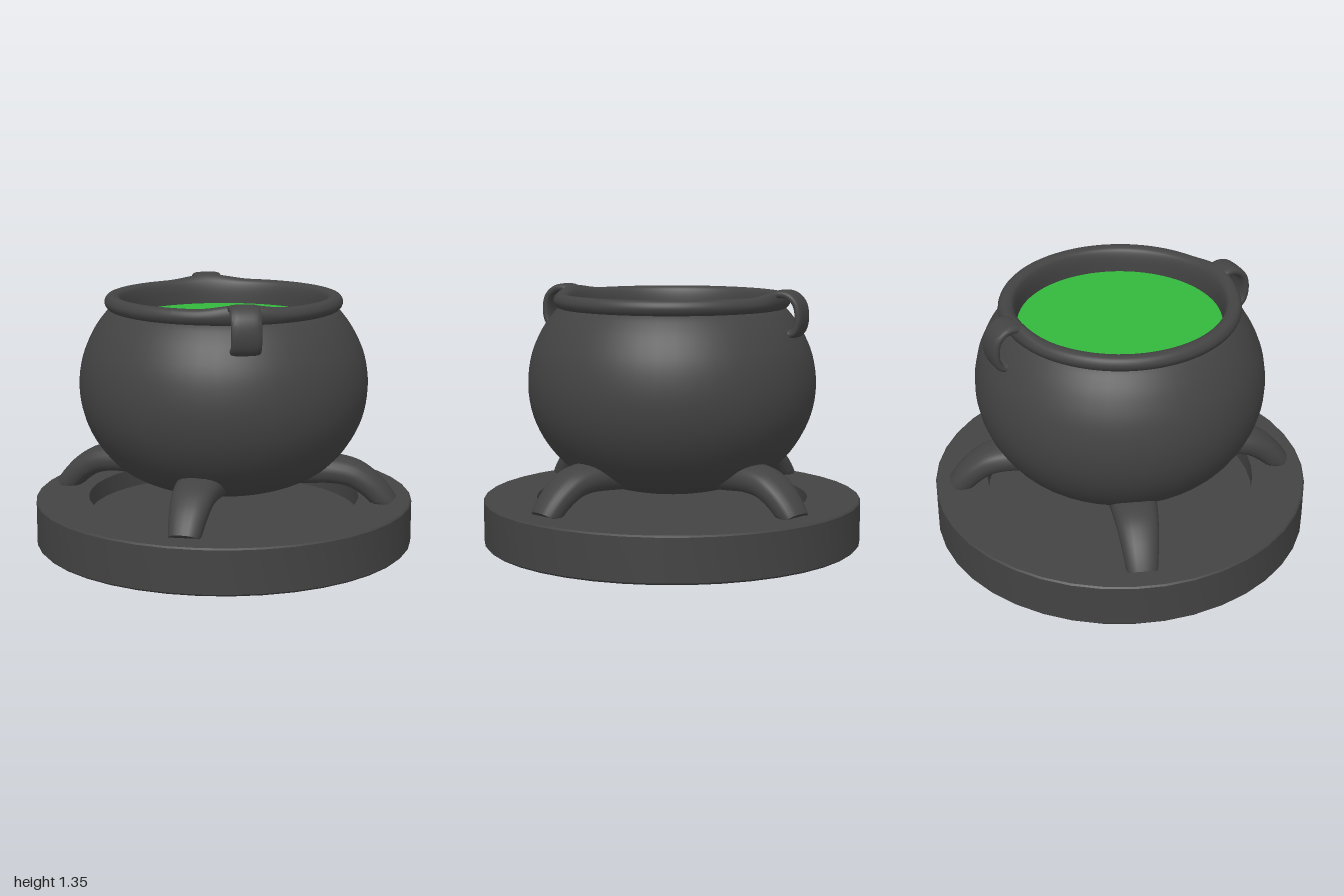
import * as THREE from 'three';
import { toCreasedNormals } from 'three/addons/utils/BufferGeometryUtils.js';

const iron = new THREE.MeshStandardMaterial({ color: 0x434343 });
iron.name = 'dark iron';
const brew = new THREE.MeshStandardMaterial({ color: 0x32b83c });
brew.name = 'green brew';

const HANDLE_ANGLE = THREE.MathUtils.degToRad(33.8);
const LEG_ANGLE = THREE.MathUtils.degToRad(12.3);
const vecs = (pts) => pts.map(([x, y]) => new THREE.Vector2(x, y));
const smooth = (pts, n) => new THREE.SplineCurve(vecs(pts)).getPoints(n);

function addMesh(parent, name, geometry, material) {
  const mesh = new THREE.Mesh(geometry, material);
  mesh.name = name;
  parent.add(mesh);
  return mesh;
}

// Sweeps a rounded section along a path of [radius, height] points in the yz plane.
// size(t) gives [half width, half thickness]; power below 1 squares the section.
function sweep(path, size, power, floor = -Infinity, steps = 20, sides = 20) {
  const curve = new THREE.SplineCurve(vecs(path));
  const pos = [], index = [];
  const squash = (v) => Math.sign(v) * Math.abs(v) ** power;
  for (let i = 0; i <= steps; i++) {
    const t = i / steps, c = curve.getPoint(t), d = curve.getTangent(t);
    const [w, h] = size(t);
    for (let j = 0; j < sides; j++) {
      const a = (j / sides) * Math.PI * 2;
      const s = squash(Math.sin(a)) * h;
      pos.push(squash(Math.cos(a)) * w, Math.max(floor, c.y + d.x * s), c.x - d.y * s);
      if (i < steps) {
        const k = (j + 1) % sides, p = i * sides, q = p + sides;
        index.push(p + j, p + k, q + k, p + j, q + k, q + j);
      }
    }
  }
  // Closing face at the far end
  for (let j = 1; j < sides - 1; j++) {
    index.push(steps * sides, steps * sides + j, steps * sides + j + 1);
  }
  const g = new THREE.BufferGeometry();
  g.setAttribute('position', new THREE.Float32BufferAttribute(pos, 3));
  g.setIndex(index);
  return toCreasedNormals(g, 0.8);
}

// Rim whose outer upper side swells up where each handle joins it
function rimGeometry() {
  const profile = smooth([[0.58, 1.24], [0.607, 1.25], [0.622, 1.28], [0.61, 1.31], [0.585, 1.32],
    [0.555, 1.314], [0.54, 1.295], [0.53, 1.25], [0.526, 1.17]], 28);
  const g = new THREE.LatheGeometry(profile, 96);
  const p = g.attributes.position;
  for (let i = 0; i < p.count; i++) {
    const a = Math.atan2(p.getX(i), p.getZ(i)) - HANDLE_ANGLE;
    const off = Math.abs(Math.atan(Math.tan(a)));
    const swell = off < 0.42 ? 0.5 + 0.5 * Math.cos((off / 0.42) * Math.PI) : 0;
    const radius = Math.hypot(p.getX(i), p.getZ(i));
    const lift = THREE.MathUtils.smoothstep(p.getY(i), 1.24, 1.32) * THREE.MathUtils.smoothstep(radius, 0.53, 0.585);
    p.setY(i, p.getY(i) + 0.024 * swell * lift);
  }
  g.computeVertexNormals();
  return g;
}

export function createModel() {
  const model = new THREE.Group();
  model.name = 'cauldron';

  // Round plinth with a shallow recess under the pot
  const plinth = new THREE.LatheGeometry(vecs([[0, 0], [0.99, 0], [1, 0.01], [1, 0.232],
    [0.992, 0.24], [0.72, 0.24], [0.72, 0.14], [0, 0.14]]), 40);
  addMesh(model, 'plinth', toCreasedNormals(plinth, 0.6), iron);

  // Bellied pot, rim and the liquid inside
  const belly = smooth([[0, 0.268], [0.2, 0.282], [0.4, 0.333], [0.55, 0.413], [0.66, 0.533], [0.733, 0.68],
    [0.759, 0.84], [0.738, 1.0], [0.682, 1.13], [0.622, 1.215], [0.585, 1.25]], 40);
  addMesh(model, 'pot', new THREE.LatheGeometry(belly, 48), iron);
  addMesh(model, 'rim', rimGeometry(), iron);
  const liquid = addMesh(model, 'liquid', new THREE.CircleGeometry(0.529, 48), brew);
  liquid.rotation.x = -Math.PI / 2;
  liquid.position.y = 1.19;

  // Two strap handles curling from the rim down to the pot
  const strap = sweep([[0.565, 1.305], [0.61, 1.329], [0.665, 1.325], [0.71, 1.285], [0.724, 1.22],
    [0.715, 1.16], [0.69, 1.13], [0.65, 1.132]], () => [0.076, 0.021], 0.6, -Infinity, 28, 24);
  for (let i = 0; i < 2; i++) {
    addMesh(model, 'handle', strap, iron).rotation.y = HANDLE_ANGLE + i * Math.PI;
  }

  // Four splayed legs with flat-bottomed feet
  const leg = sweep([[0.3, 0.4], [0.45, 0.408], [0.58, 0.412], [0.69, 0.395], [0.77, 0.35],
    [0.83, 0.295], [0.875, 0.238]],
    (t) => [0.138 - 0.06 * t, 0.08 - 0.02 * t], 0.8, 0.25, 28, 20);
  for (let i = 0; i < 4; i++) {
    addMesh(model, 'leg', leg, iron).rotation.y = LEG_ANGLE + (i * Math.PI) / 2;
  }
  return model;
}
